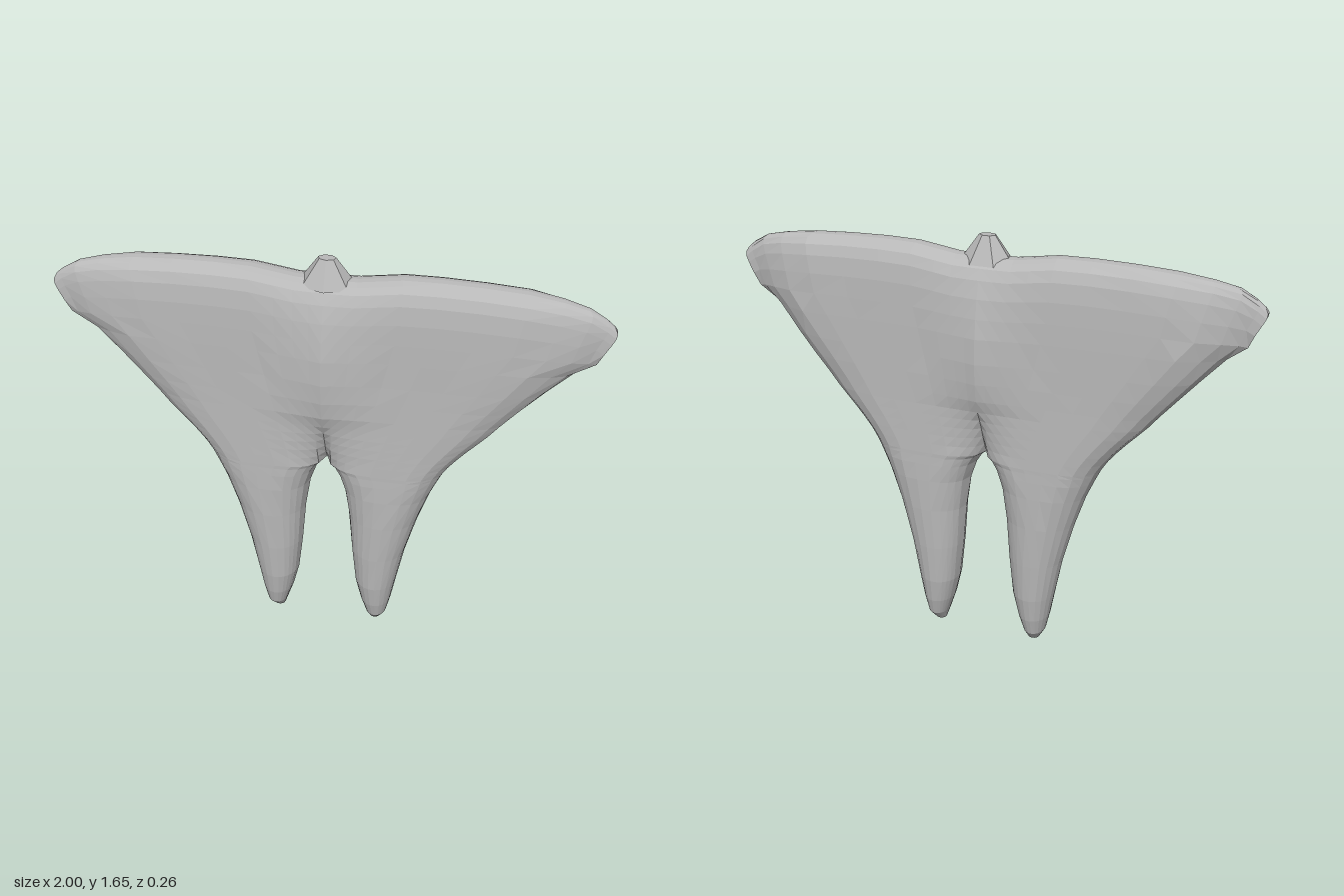
import * as THREE from 'three';

// Level rows of one half, bottom to top:
// [height, inner x, outer x, half depth at inner edge, half depth of the slab]
const ROWS = [
  [0, 0.2, 0.205, 0, 0],
  [0.005, 0.18, 0.225, 0, 0.022],
  [0.05, 0.165, 0.25, 0, 0.062],
  [0.12, 0.142, 0.266, 0, 0.08],
  [0.22, 0.118, 0.284, 0, 0.094],
  [0.38, 0.1, 0.314, 0, 0.102],
  [0.55, 0.086, 0.358, 0, 0.106],
  [0.68, 0.066, 0.4, 0, 0.106],
  [0.75, 0.042, 0.43, 0, 0.105],
  [0.785, 0.02, 0.446, 0, 0.104],
  [0.8, 0, 0.453, 0, 0.104],
  [0.84, 0, 0.478, 0.028, 0.103],
  [0.88, 0, 0.51, 0.046, 0.102],
  [0.92, 0, 0.545, 0.062, 0.101],
  [0.96, 0, 0.583, 0.08, 0.1],
  [1.0, 0, 0.62, 0.1, 0.099],
  [1.05, 0, 0.66, 0.118, 0.098],
  [1.12, 0, 0.72, 0.128, 0.097],
  [1.2, 0, 0.79, 0.132, 0.096],
  [1.3, 0, 0.875, 0.128, 0.095],
  [1.38, 0, 0.945, 0.118, 0.093],
  [1.46, 0, 0.965, 0.105, 0.09],
  [1.53, 0, 0.985, 0.086, 0.081],
  [1.57, 0, 0.997, 0.066, 0.066],
  [1.59, 0, 1.0, 0.045, 0.045],
  [1.6, 0, 0.99, 0.022, 0.022],
  [1.602, 0, 0.99, 0, 0],
];
const STEPS = [0, 0.05, 0.11, 0.18, 0.27, 0.4, 0.55, 0.7, 0.82, 0.91, 0.97, 1];
// How far the top edge sinks at each x
const DROP = [[0, 0.03], [0.1, 0.03], [0.3, 0], [0.65, 0.008], [0.85, 0.035], [0.93, 0.058], [1, 0.115]];

const { smoothstep, lerp } = THREE.MathUtils;
const round = (d) => Math.sqrt(Math.max(0, 1 - (1 - Math.min(1, d)) ** 2));

function topDrop(x) {
  for (let i = 1; i < DROP.length; i++) {
    const [x0, d0] = DROP[i - 1], [x1, d1] = DROP[i];
    if (x <= x1) return lerp(d0, d1, (x - x0) / (x1 - x0));
  }
  return DROP[DROP.length - 1][1];
}

// One row: front points from inner to outer edge, then back again behind
function section([v, xi, xo, tIn, tMid]) {
  const r = Math.min(0.13, (xo - xi) / 2);
  const rIn = r + 0.06 * smoothstep(v, 0.74, 0.86); // wider hollow above the legs
  const rOut = r + 0.08 * smoothstep(v, 0.8, 1.1) - 0.1 * smoothstep(v, 1.28, 1.42);
  const minEdge = 0.6 * smoothstep(v, 1.3, 1.44); // blunt side tips
  const front = STEPS.map((s) => {
    const x = lerp(xi, xo, s);
    const k = tIn > tMid ? Math.min(1, x / 0.22) ** 0.8 : round((x - xi) / rIn);
    const taper = (1 - 0.07 * smoothstep(x, 0.2, 0.6)) * (1 - 0.48 * smoothstep(x, 0.68, 0.95));
    const edge = Math.max(minEdge, round((xo - x) / rOut));
    const t = lerp(tIn, tMid, k) * taper * edge;
    const y = v - topDrop(x) * smoothstep(v, 1.2, 1.6);
    return { x, y, t, c: 0.02 * smoothstep(x, 0.7, 0.95) - 0.005 };
  });
  return [
    ...front.map((p) => [p.x, p.y, p.c + p.t]),
    ...front.slice().reverse().map((p) => [p.x, p.y, p.c - p.t]),
  ];
}

// Half body with its leg and spread side, faceted
function halfGeometry(side) {
  const rings = ROWS.map(section);
  const pos = [];
  const tri = (...pts) => {
    if (side < 0) pts.reverse();
    for (const [x, y, z] of pts) pos.push(x * side, y, z);
  };
  for (let i = 0; i < rings.length - 1; i++) {
    for (let j = 0; j < rings[i].length - 1; j++) {
      const a = rings[i][j], b = rings[i][j + 1];
      const c = rings[i + 1][j + 1], d = rings[i + 1][j];
      tri(a, b, c);
      tri(a, c, d);
    }
  }
  const geo = new THREE.BufferGeometry();
  geo.setAttribute('position', new THREE.Float32BufferAttribute(pos, 3));
  geo.computeVertexNormals();
  return geo;
}

export function createModel() {
  const group = new THREE.Group();
  group.name = 'spreadFigure';
  const grey = new THREE.MeshStandardMaterial({ color: 0xb8b8b8 });
  grey.name = 'plain grey';

  // Mirrored halves meet on the centre line
  for (const [name, side] of [['leftHalf', 1], ['rightHalf', -1]]) {
    const half = new THREE.Mesh(halfGeometry(side), grey);
    half.name = name;
    group.add(half);
  }

  // Small blunt knob on top
  const knobGeo = new THREE.CylinderGeometry(0.032, 0.105, 0.1, 7).toNonIndexed();
  knobGeo.scale(1, 1, 0.68);
  knobGeo.computeVertexNormals();
  const knob = new THREE.Mesh(knobGeo, grey);
  knob.name = 'topKnob';
  knob.position.set(0, 1.597, 0);
  group.add(knob);

  return group;
}
